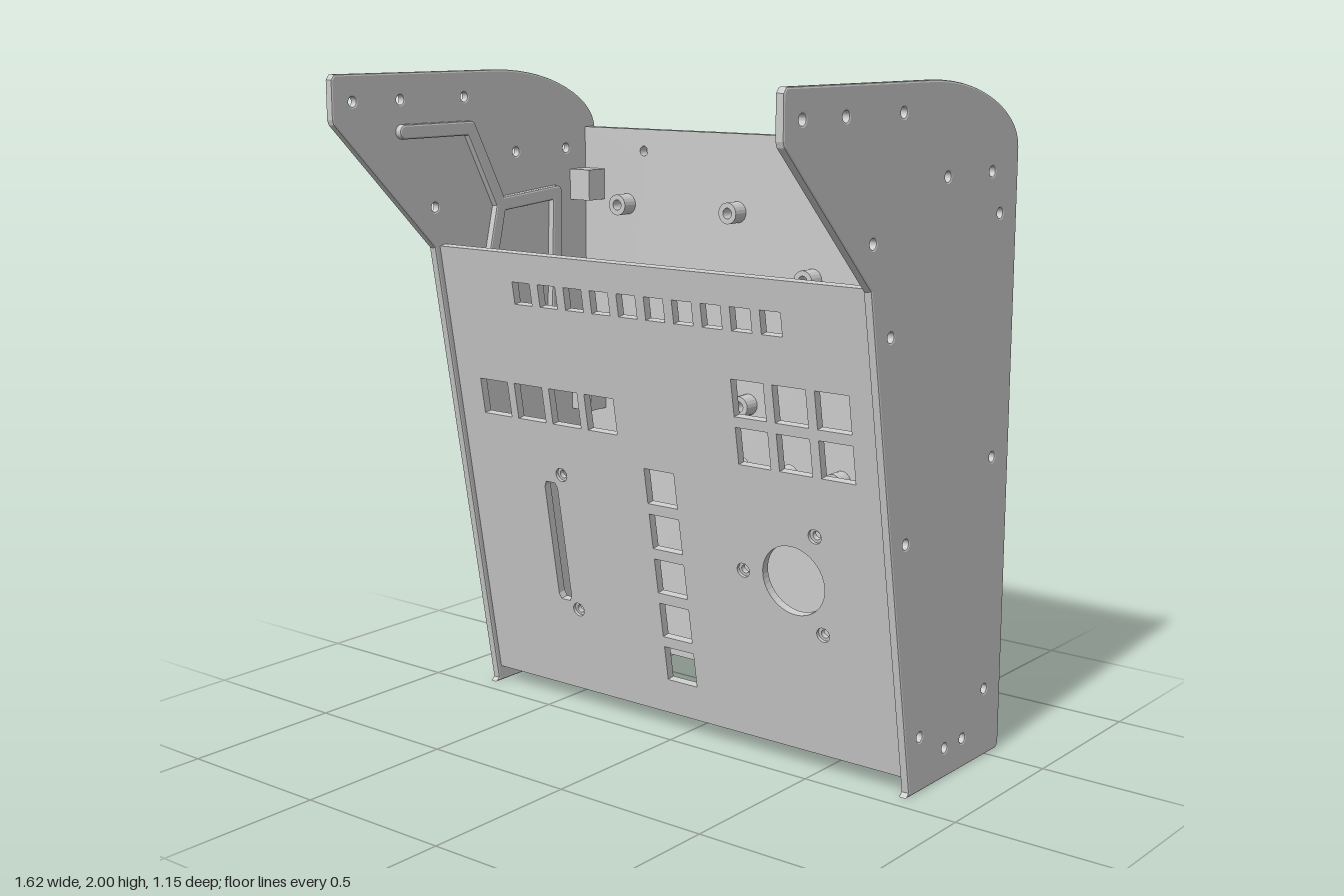
import * as THREE from 'three';

const mat = new THREE.MeshStandardMaterial({ color: 0xcccccc });

function add(parent, name, geometry, x = 0, y = 0, z = 0) {
  const mesh = new THREE.Mesh(geometry, mat);
  mesh.name = name;
  mesh.position.set(x, y, z);
  parent.add(mesh);
  return mesh;
}

// Outlines
function rect(x, y, w, h, Type = THREE.Path) {
  return new Type().moveTo(x - w / 2, y - h / 2).lineTo(x + w / 2, y - h / 2)
    .lineTo(x + w / 2, y + h / 2).lineTo(x - w / 2, y + h / 2).closePath();
}
function circle(x, y, r) {
  return new THREE.Path().absarc(x, y, r, 0, Math.PI * 2);
}
function slot(x, y, w, h) {
  const r = w / 2 - 0.008, p = new THREE.Path(), c = 0.017;
  return p.moveTo(x - r, y - h / 2).lineTo(x + r, y - h / 2).lineTo(x + w / 2, y - h / 2 + c)
    .lineTo(x + w / 2, y + h / 2 - c).lineTo(x + r, y + h / 2).lineTo(x - r, y + h / 2)
    .lineTo(x - w / 2, y + h / 2 - c).lineTo(x - w / 2, y - h / 2 + c).closePath();
}
function plate(shape, holes, depth) {
  shape.holes.push(...holes);
  return new THREE.ExtrudeGeometry(shape, { depth, bevelEnabled: false, curveSegments: 20 });
}
// Extrusion of a (z, y) outline, centred on x = 0, with soft edges
function sideways(shape, thickness, bevel) {
  const g = new THREE.ExtrudeGeometry(shape, {
    depth: thickness - 2 * bevel, bevelThickness: bevel, bevelSize: bevel,
    bevelOffset: -bevel, bevelSegments: 2, curveSegments: 14,
  });
  g.translate(0, 0, -(thickness - 2 * bevel) / 2);
  return g.rotateY(-Math.PI / 2);
}

// Hollow spacer pointing along z from 0 to length
function standoffGeometry(r, length) {
  const pts = [[r * 0.5, 0], [r, 0], [r, length], [r * 0.5, length], [r * 0.5, 0]];
  const g = new THREE.LatheGeometry(pts.map(p => new THREE.Vector2(...p)), 20).toNonIndexed();
  g.computeVertexNormals();
  return g.rotateX(Math.PI / 2);
}

// Rounded bar between two (z, y) points
function ribGeometry([z0, y0], [z1, y1]) {
  const a = Math.atan2(y1 - y0, z1 - z0), r = 0.022, q = Math.PI / 2;
  const s = new THREE.Shape();
  s.absarc(z1, y1, r, a - q, a + q);
  s.absarc(z0, y0, r, a + q, a + 3 * q);
  return sideways(s, 0.03, 0.006);
}

function sidePanelGeometry() {
  const s = new THREE.Shape();
  s.moveTo(-0.055, 0).lineTo(-0.068, 0.012).lineTo(0.18, 1.465).lineTo(0.575, 1.855)
    .lineTo(0.58, 1.87).lineTo(0.58, 1.985).lineTo(0.568, 2).lineTo(-0.1, 2)
    .bezierCurveTo(-0.36, 2, -0.575, 1.9, -0.575, 1.8)
    .lineTo(-0.575, 0.012).lineTo(-0.563, 0).closePath();
  const holes = [[0.5, 1.92], [0.31, 1.92], [0.04, 1.92], [-0.19, 1.74], [-0.43, 1.74],
    [0.18, 1.59], [0.08, 1.335], [-0.02, 0.75], [-0.12, 0.165], [-0.48, 1.62],
    [-0.48, 0.915], [-0.48, 0.21], [-0.26, 0.09], [-0.36, 0.09]];
  // Keep the screw hole at the notch clear of the edge
  s.holes = holes.map(([z, y]) => circle(z === 0.18 ? 0.175 : z, y, 0.014));
  return sideways(s, 0.026, 0.006);
}

function buildSide(side) {
  const g = new THREE.Group();
  g.name = side > 0 ? 'leftSide' : 'rightSide';
  add(g, 'sidePanel', sidePanelGeometry(), side * 0.795);
  const ribs = [
    [[0.31, 1.825], [0.03, 1.825]], [[0.03, 1.825], [-0.1, 1.58]],
    [[-0.1, 1.58], [-0.365, 1.6]], [[-0.1, 1.58], [-0.03, 1.3]],
    [[-0.365, 1.6], [-0.35, 1.1]],
  ];
  ribs.forEach(([a, b]) => add(g, 'stiffeningRib', ribGeometry(a, b), side * 0.777));
  // Corner blocks joining the side to the back panel
  for (const y of [0.21, 0.915, 1.62]) {
    add(g, 'backBlock', new THREE.BoxGeometry(0.085, 0.1, 0.078), side * 0.742, y, -0.487);
  }
  return g;
}

function buildFrontPanel() {
  const g = new THREE.Group();
  g.name = 'frontPanel';
  const tilt = Math.atan(0.168), w = 1.566, h = 1.42 / Math.cos(tilt);
  const local = y => (y - 0.05) / Math.cos(tilt);
  g.position.set(0, 0.05, -0.079);
  g.rotation.x = tilt;

  const cutouts = () => {
    const c = [];
    for (let i = 0; i < 10; i++) c.push(rect(-0.46 + i * 0.1022, local(1.346), 0.07, 0.07));
    for (let i = 0; i < 4; i++) c.push(rect(-0.63 + i * 0.1425, local(1), 0.114, 0.114));
    for (let i = 0; i < 5; i++) c.push(rect(0, local(0.22 + i * 0.1442), 0.112, 0.112));
    for (let i = 0; i < 6; i++) {
      c.push(rect(0.358 + (i % 3) * 0.142, local(i < 3 ? 1.115 : 0.973), 0.112, 0.112));
    }
    c.push(circle(0.457, local(0.59), 0.107), slot(-0.445, local(0.552), 0.052, 0.4));
    return c;
  };
  const screws = r => [[-0.395, 0.78], [-0.395, 0.33], [0.545, 0.74], [0.545, 0.44], [0.28, 0.59]]
    .map(([x, y]) => circle(x, local(y), r));
  const outline = () => rect(0, h / 2, w, h, THREE.Shape);
  // Two layers give the screw holes a counterbore
  add(g, 'panelFace', plate(outline(), [...cutouts(), ...screws(0.022)], 0.01), 0, 0, -0.01);
  add(g, 'panelBacking', plate(outline(), [...cutouts(), ...screws(0.013)], 0.016), 0, 0, -0.026);

  // Blocks joining the panel to the sides
  for (const side of [-1, 1]) for (const y of [0.165, 0.75, 1.335]) {
    add(g, 'frontBlock', new THREE.BoxGeometry(0.085, 0.1, 0.078), side * 0.742, local(y), -0.064);
  }
  // Circuit board spacers behind the buttons
  const spacer = standoffGeometry(0.027, 0.055);
  const spots = [[-0.545, 1.23], [-0.245, 1.2], [0.125, 1.2], [0.535, 1.27],
    [-0.72, 0.88], [-0.545, 0.88], [-0.335, 0.88], [-0.12, 0.9], [0.04, 0.88], [0.25, 0.88],
    [0.42, 0.88], [0.72, 0.88], [0.25, 1.2], [0.42, 1.2],
    [0.04, 0.13], [0.11, 0.15], [0.11, 0.3], [0.11, 0.44], [0.11, 0.58]];
  spots.forEach(([x, y]) => add(g, 'frontStandoff', spacer, x, local(y), -0.081));
  return g;
}

function buildBackPanel() {
  const g = new THREE.Group();
  g.name = 'backPanel';
  const y0 = 0.05, y1 = 1.805;
  const outline = () => rect(0, (y0 + y1) / 2, 1.566, y1 - y0, THREE.Shape);
  const through = () => [-0.53, 0.53].map(x => circle(x, 1.735, 0.016));
  const blind = [];
  for (const x of [-0.65, 0.65]) for (const y of [0.2, 1.695]) blind.push(circle(x, y, 0.016));
  // Outer layer carries the blind screw holes
  add(g, 'panelInner', plate(outline(), through(), 0.015), 0, 0, -0.54);
  add(g, 'panelOuter', plate(outline(), [...through(), ...blind], 0.02), 0, 0, -0.56);
  const spacer = standoffGeometry(0.034, 0.055);
  [[-0.6, 1.56], [-0.15, 1.56], [-0.6, 0.95], [-0.1, 0.95], [0.14, 1.37], [0.26, 0.75]]
    .forEach(([x, y]) => add(g, 'backStandoff', spacer, x, y, -0.526));
  return g;
}

export function createModel() {
  const model = new THREE.Group();
  model.name = 'controlConsoleCase';
  model.add(buildSide(1), buildSide(-1), buildFrontPanel(), buildBackPanel());
  return model;
}
